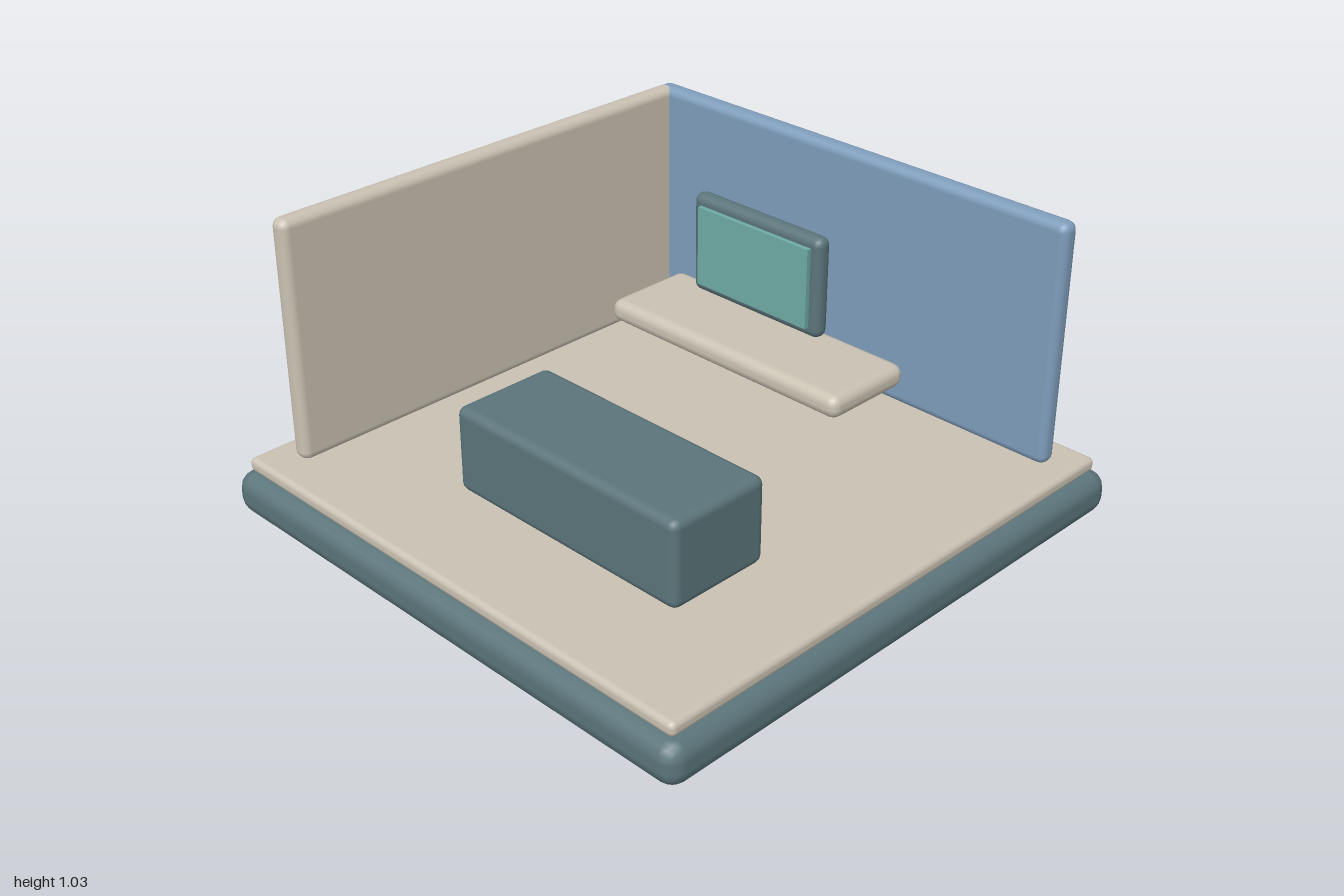
import * as THREE from 'three';
import { RoundedBoxGeometry } from 'three/addons/geometries/RoundedBoxGeometry.js';

function material(name, color) {
  const m = new THREE.MeshStandardMaterial({ color });
  m.name = name;
  return m;
}

export function createModel() {
  const group = new THREE.Group();
  group.name = 'room';
  const slate = material('slate', 0x5b757b);
  const beige = material('beige', 0xcac2b3);
  const blue = material('blue', 0x7f9dbb);
  const teal = material('teal', 0x6faaa6);

  // Places a block between two limits on each axis, with rounded edges
  function block(name, mat, [x0, x1], [y0, y1], [z0, z1], radius) {
    const size = [x1 - x0, y1 - y0, z1 - z0];
    const geometry = radius
      ? new RoundedBoxGeometry(...size, 2, radius)
      : new THREE.BoxGeometry(...size);
    const mesh = new THREE.Mesh(geometry, mat);
    mesh.name = name;
    mesh.position.set((x0 + x1) / 2, (y0 + y1) / 2, (z0 + z1) / 2);
    group.add(mesh);
  }

  // Platform and floor
  block('base', slate, [-1, 1], [0, 0.15], [-1, 1], 0.06);
  block('floor', beige, [-0.96, 0.96], [0.15, 0.2], [-0.96, 0.96], 0.02);

  // Two walls meeting at the back corner
  block('backWall', blue, [-0.875, 0.87], [0.19, 1.03], [-0.865, -0.795], 0.03);
  block('sideWall', beige, [-0.878, -0.808], [0.19, 1.03], [-0.84, 0.845], 0.03);

  // Floating shelf desk with a monitor above it
  block('desk', beige, [-0.5, 0.495], [0.44, 0.52], [-0.545, -0.205], 0.035);
  block('monitor', slate, [-0.275, 0.272], [0.58, 0.925], [-0.43, -0.37], 0.028);
  block('screen', teal, [-0.235, 0.235], [0.617, 0.89], [-0.372, -0.354], 0);

  // Bench in front
  block('bench', slate, [-0.325, 0.62], [0.205, 0.502], [0.237, 0.61], 0.03);

  return group;
}
